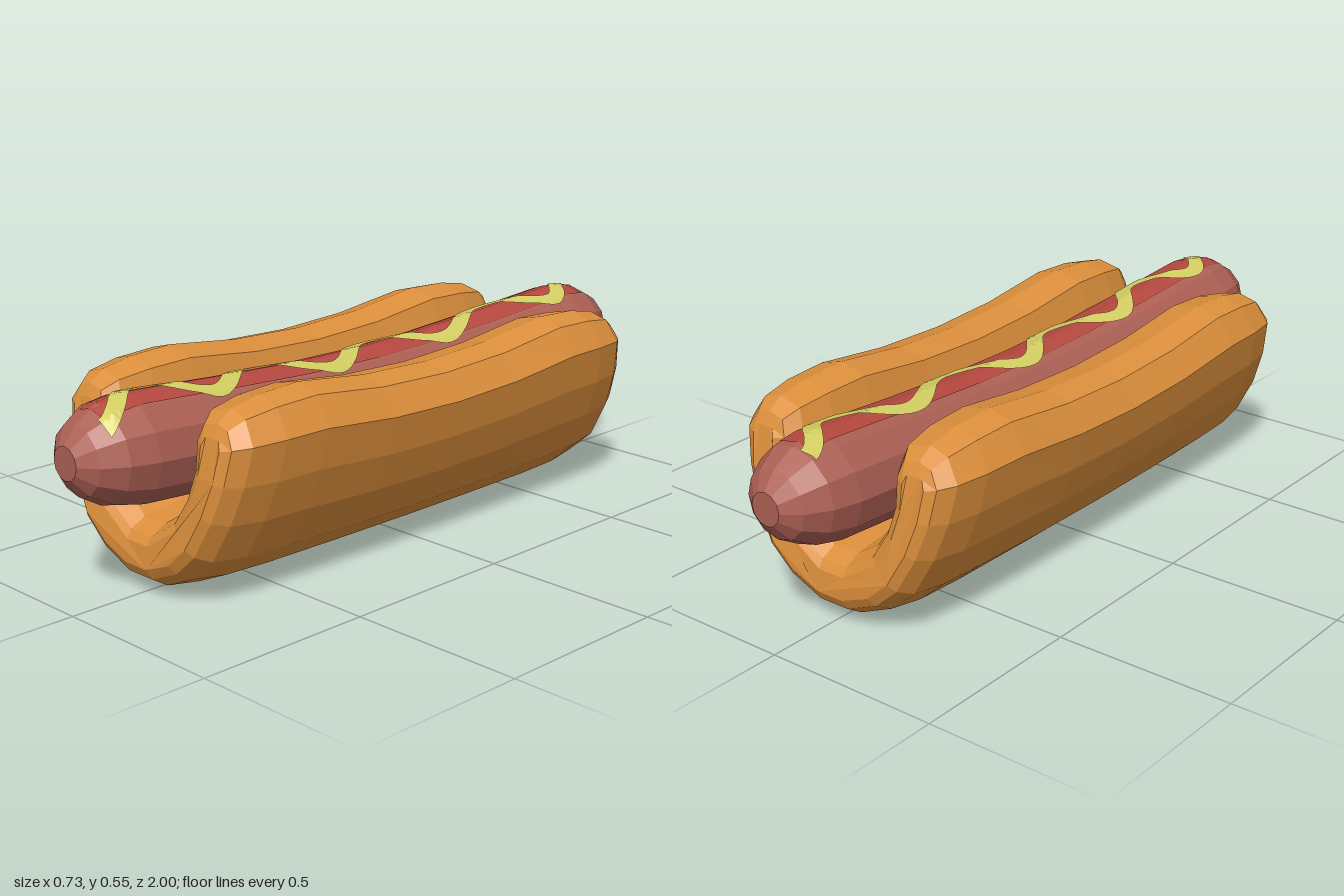
import * as THREE from 'three';

const materials = {
  bun: new THREE.MeshStandardMaterial({ name: 'bunCrust', color: 0xdc8f3c }),
  sausage: new THREE.MeshStandardMaterial({ name: 'sausageSkin', color: 0xad6054 }),
  red: new THREE.MeshStandardMaterial({ name: 'redSauce', color: 0xb5483f }),
  yellow: new THREE.MeshStandardMaterial({ name: 'mustardYellow', color: 0xd3ce62 }),
};

// Faceted geometry from indexed points
function faceted(points, index) {
  const geo = new THREE.BufferGeometry().setFromPoints(points);
  geo.setIndex(index);
  const flat = geo.toNonIndexed();
  flat.computeVertexNormals();
  return flat;
}

// Skin between counterclockwise rings stacked along +z, closed at both ends
function loft(rings) {
  const n = rings[0].length, index = [];
  for (let i = 0; i < rings.length - 1; i++) {
    for (let j = 0; j < n; j++) {
      const a = i * n + j, b = i * n + (j + 1) % n;
      index.push(a, b, b + n, a, b + n, a + n);
    }
  }
  const cap = (ring) => THREE.ShapeUtils.triangulateShape(ring.map((p) => new THREE.Vector2(p.x, p.y)), []);
  const last = (rings.length - 1) * n;
  cap(rings[0]).forEach(([a, b, c]) => index.push(a, c, b));
  cap(rings[rings.length - 1]).forEach(([a, b, c]) => index.push(last + a, last + b, last + c));
  return faceted(rings.flat(), index);
}

// Half of the bun's U section: x, y, then the core point it shrinks towards
const halfSection = [
  [0.055, 0, 0.035, 0.11], [0.165, 0.05, 0.115, 0.14], [0.245, 0.12, 0.175, 0.195],
  [0.305, 0.23, 0.222, 0.28], [0.345, 0.34, 0.245, 0.36], [0.367, 0.45, 0.25, 0.43],
  [0.32, 0.525, 0.25, 0.43], [0.25, 0.545, 0.25, 0.43], [0.165, 0.525, 0.25, 0.43],
  [0.14, 0.45, 0.25, 0.43], [0.15, 0.37, 0.245, 0.36], [0.13, 0.295, 0.222, 0.28],
  [0.09, 0.235, 0.175, 0.195], [0.04, 0.203, 0.04, 0.11],
];
const section = [
  ...halfSection,
  ...halfSection.map(([x, y, cx, cy]) => [-x, y, -cx, cy]).reverse(),
];

function bunGeometry() {
  // z and size of each ring, mirrored for the back
  const half = [[0.25, 1], [0.5, 1], [0.64, 0.95], [0.74, 0.8], [0.785, 0.55], [0.8, 0.3]];
  const stations = [...half.map(([z, s]) => [-z, s]).reverse(), [0, 1], ...half];
  return loft(stations.map(([z, s]) => {
    const lift = 0.93 + 0.07 * Math.min(1, (z / 0.5) ** 2);
    return section.map(([x, y, cx, cy]) => new THREE.Vector3(
      cx + (x - cx) * s,
      (cy + (y - cy) * s) * lift,
      // the raised lips end a little shorter than the base
      z * (1 - 0.07 * Math.max(0, (y - 0.15) / 0.4)),
    ));
  }));
}

// Sausage rings: z, radius, centre height (sagging in the middle)
const halfSausage = [
  [0.25, 0.142, 0.357], [0.5, 0.143, 0.37], [0.68, 0.144, 0.382], [0.82, 0.144, 0.391],
  [0.9, 0.13, 0.395], [0.965, 0.093, 0.396], [1, 0.045, 0.396],
];
const sausageRings = [
  ...halfSausage.map(([z, r, y]) => [-z, r, y]).reverse(), [0, 0.142, 0.352], ...halfSausage,
];
const SIDES = 12;

function sausageGeometry() {
  return loft(sausageRings.map(([z, r, y]) => Array.from({ length: SIDES }, (_, i) => {
    const a = (i / SIDES) * Math.PI * 2;
    return new THREE.Vector3(r * Math.cos(a), y + r * Math.sin(a), z);
  })));
}

// Height of the sausage's faceted upper surface at x, z
function topOf(x, z) {
  let k = 0;
  while (k < sausageRings.length - 2 && z > sausageRings[k + 1][0]) k++;
  const [z0, r0, y0] = sausageRings[k], [z1, r1, y1] = sausageRings[k + 1];
  const t = (z - z0) / (z1 - z0), r = r0 + (r1 - r0) * t, u = Math.min(Math.abs(x) / r, 0.866);
  const h = u < 0.5 ? 1 - 0.268 * u : 0.866 - (u - 0.5);
  return y0 + (y1 - y0) * t + r * h;
}

// Thin strip laid on the sausage: rows are [left, right] pairs of x, z
function strip(rows, gap, across = 6) {
  const points = [], index = [], n = across + 1;
  rows.forEach(([l, r], i) => {
    for (let j = 0; j < n; j++) {
      const p = l.clone().lerp(r, j / across);
      points.push(new THREE.Vector3(p.x, topOf(p.x, p.y) + gap, p.y));
      if (i && j) {
        const d = i * n + j, c = d - 1, b = d - n, a = b - 1;
        index.push(a, c, d, a, d, b);
      }
    }
  });
  return faceted(points, index);
}

function redStrip() {
  const rows = [];
  for (let i = 0; i <= 60; i++) {
    const z = -0.88 + (i / 60) * 1.8;
    rows.push([new THREE.Vector2(-0.045, z), new THREE.Vector2(0.066, z)]);
  }
  return strip(rows, 0.003);
}

function mustardWave() {
  // turning points of the squeeze line, x and z
  const turns = [[-0.05, -0.9], [0.062, -0.75], [-0.042, -0.52], [0.062, -0.28], [-0.045, -0.05],
    [0.062, 0.15], [-0.045, 0.38], [0.062, 0.57], [-0.042, 0.76], [0.07, 0.93]];
  const centre = [];
  for (let i = 0; i < turns.length - 1; i++) {
    const [x0, z0] = turns[i], [x1, z1] = turns[i + 1];
    for (let k = 0; k < 12; k++) {
      const t = k / 12;
      centre.push(new THREE.Vector2(x0 + (x1 - x0) * (1 - Math.cos(Math.PI * t)) / 2, z0 + (z1 - z0) * t));
    }
  }
  centre.push(new THREE.Vector2(...turns[turns.length - 1]));
  const rows = centre.map((p, i) => {
    const d = centre[Math.min(i + 1, centre.length - 1)].clone().sub(centre[Math.max(i - 1, 0)]).normalize();
    const side = new THREE.Vector2(d.y, -d.x).multiplyScalar(0.023);
    return [p.clone().sub(side), p.clone().add(side)];
  });
  return strip(rows, 0.007);
}

export function createModel() {
  const group = new THREE.Group();
  group.name = 'hotDog';
  const add = (name, geometry, material) => {
    const mesh = new THREE.Mesh(geometry, material);
    mesh.name = name;
    group.add(mesh);
  };
  add('bun', bunGeometry(), materials.bun);
  add('sausage', sausageGeometry(), materials.sausage);
  add('redSauceStrip', redStrip(), materials.red);
  add('mustardWave', mustardWave(), materials.yellow);
  return group;
}
